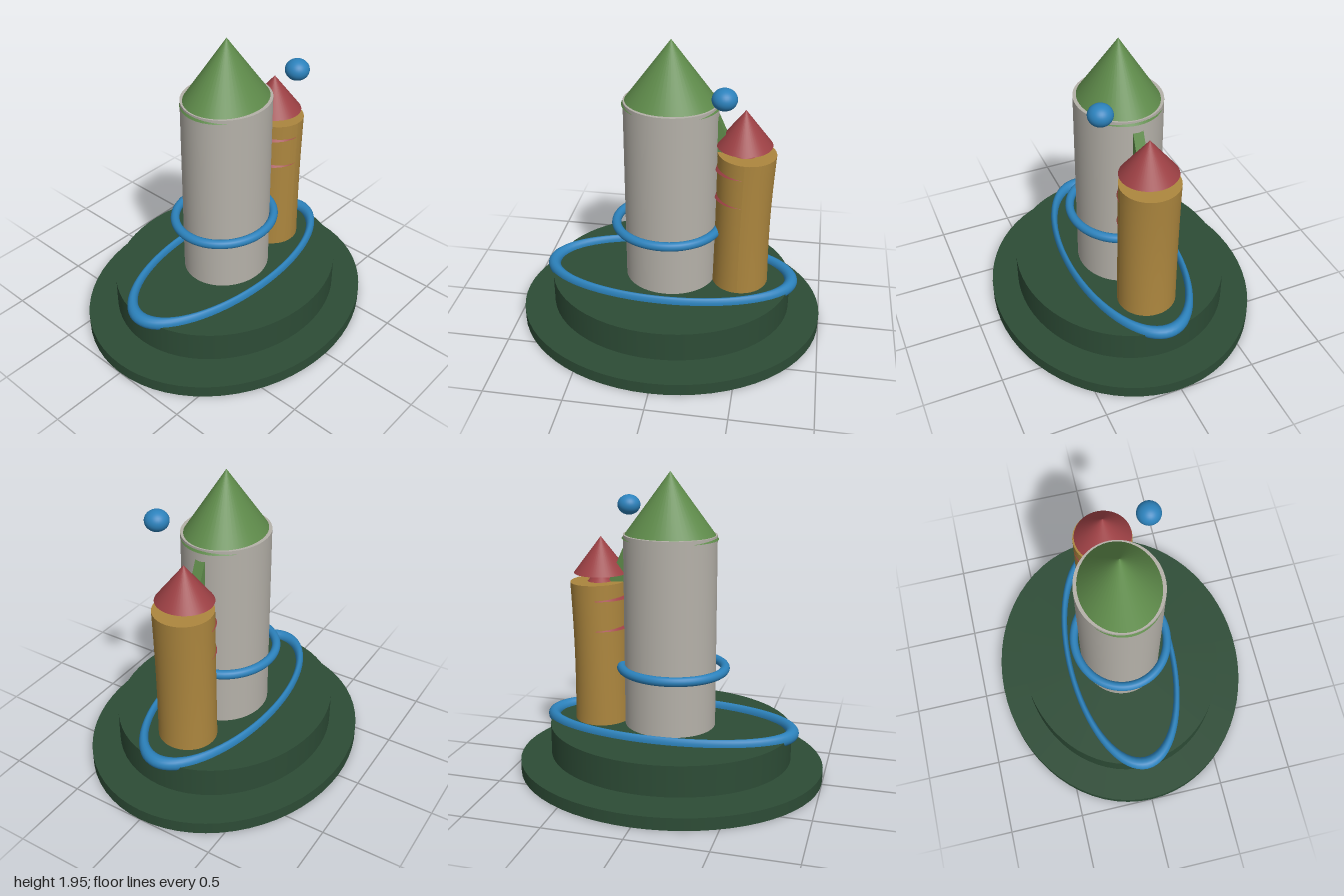
import * as THREE from 'three';

const paint = (name, color) => {
  const m = new THREE.MeshStandardMaterial({ color });
  m.name = name;
  return m;
};

export function createModel() {
  const model = new THREE.Group();
  model.name = 'towerIsland';
  const darkGreen = paint('darkGreen', 0x2d4c36);
  const stone = paint('stone', 0xb5b1a9);
  const green = paint('roofGreen', 0x5e8a4a);
  const red = paint('roofRed', 0x9c4044);
  const ochre = paint('ochre', 0xac863e);
  const blue = paint('blue', 0x2c82bc);

  const add = (name, geometry, material, x = 0, y = 0, z = 0) => {
    const mesh = new THREE.Mesh(geometry, material);
    mesh.name = name;
    mesh.position.set(x, y, z);
    model.add(mesh);
    return mesh;
  };
  // Oval drum standing from y0 to y1
  const drum = (name, material, rx, rz, y0, y1, x = 0) =>
    add(name, new THREE.CylinderGeometry(1, 1, y1 - y0, 64).scale(rx, 1, rz), material, x, (y0 + y1) / 2);
  // Oval cone with its base at y0 and its tip at y1
  const cone = (name, material, rx, rz, y0, y1, x = 0) =>
    add(name, new THREE.ConeGeometry(1, y1 - y0, 48).scale(rx, 1, rz), material, x, (y0 + y1) / 2);
  // Flat ring squeezed along z
  const ring = (name, radius, tube, squeeze, x, y) =>
    add(name, new THREE.TorusGeometry(radius, tube, 16, 72).rotateX(Math.PI / 2).scale(1, 1, squeeze), blue, x, y);

  // Stepped base: two separate discs
  drum('baseDisc', darkGreen, 1, 0.858, 0, 0.08);
  drum('upperDisc', darkGreen, 0.792, 0.682, 0.12, 0.32);

  // Main tower and its roof
  drum('mainTower', stone, 0.295, 0.27, 0.3, 1.563);
  cone('mainRoof', green, 0.305, 0.264, 1.537, 1.95);

  // Rings and floating ball
  ring('groundRing', 0.8, 0.042, 0.452, 0, 0.323);
  ring('towerRing', 0.335, 0.03, 0.92, -0.02, 0.705);
  add('ball', new THREE.SphereGeometry(1, 32, 20).scale(0.075, 0.066, 0.075), blue, 0.35, 1.7, 0.255);

  // Slightly bent side tower
  const bottom = 0.31, height = 0.935;
  const side = new THREE.CylinderGeometry(1, 1, height, 40, 10);
  const p = side.attributes.position;
  for (let i = 0; i < p.count; i++) {
    const t = p.getY(i) / height + 0.5;
    const rx = 0.183 - 0.008 * Math.sin(Math.PI * t);
    p.setXYZ(i, 0.461 + 0.014 * t * t + p.getX(i) * rx,
      bottom + t * height - 0.006 * t * p.getX(i), p.getZ(i) * 0.189);
  }
  side.computeVertexNormals();
  add('sideTower', side, ochre);

  // Stacked red roofs, the lower ones mostly inside the side tower
  [[1.3, 1.53, 0.174], [1.145, 1.335, 0.182], [0.95, 1.14, 0.182]].forEach(([y0, y1, r], i) =>
    cone('sideRoof' + (i + 1), red, r, r * 1.04, y0, y1, 0.457));

  // Fin between the two towers
  const profile = new THREE.Shape([
    new THREE.Vector2(0.25, 1.22), new THREE.Vector2(0.41, 1.22),
    new THREE.Vector2(0.285, 1.5), new THREE.Vector2(0.25, 1.5),
  ]);
  add('fin', new THREE.ExtrudeGeometry(profile, { depth: 0.066, bevelEnabled: false }), green, 0, 0, -0.035);

  return model;
}
